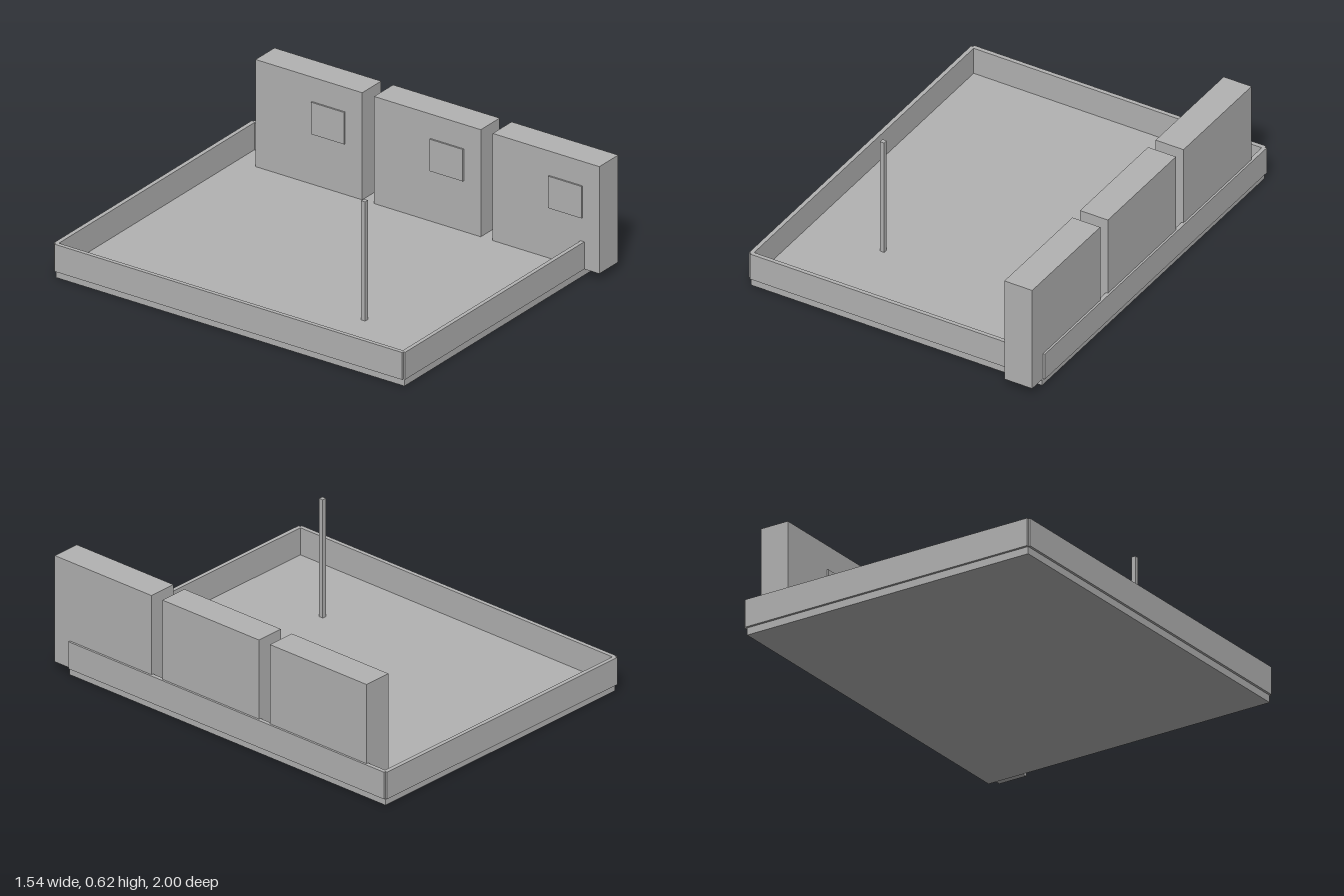
import * as THREE from 'three';

export function createModel() {
  const model = new THREE.Group();
  const grey = new THREE.MeshStandardMaterial({ color: 0xb2b2b2 });
  grey.name = 'plain grey';

  // Box given by its extents along x, y and z
  function block(name, [x0, x1], [y0, y1], [z0, z1]) {
    const mesh = new THREE.Mesh(new THREE.BoxGeometry(x1 - x0, y1 - y0, z1 - z0), grey);
    mesh.position.set((x0 + x1) / 2, (y0 + y1) / 2, (z0 + z1) / 2);
    mesh.name = name;
    model.add(mesh);
  }

  // Floor slab
  const floorTop = 0.035;
  block('floorSlab', [-0.758, 0.758], [0, floorTop], [-0.988, 0.912]);

  // Low perimeter walls
  const wallY = [floorTop, 0.17];
  block('backWall', [-0.76, 0.76], wallY, [-1, -0.979]);
  block('frontWall', [-0.76, 0.76], wallY, [0.898, 0.918]);
  block('rightWall', [-0.77, -0.75], wallY, [-0.99, 0.908]);
  block('leftWall', [0.75, 0.77], wallY, [-0.99, 0.908]);

  // Three cabinets along the left wall, each with a raised panel
  [-0.876, -0.229, 0.418].forEach((z, i) => {
    block(`cabinet${i + 1}`, [0.615, 0.76], [floorTop, 0.565], [z, z + 0.582]);
    block(`cabinetPanel${i + 1}`, [0.607, 0.616], [0.286, 0.444], [z + 0.307, z + 0.489]);
  });

  // Thin upright post
  block('post', [-0.38, -0.359], [floorTop, 0.625], [0.407, 0.429]);

  return model;
}
